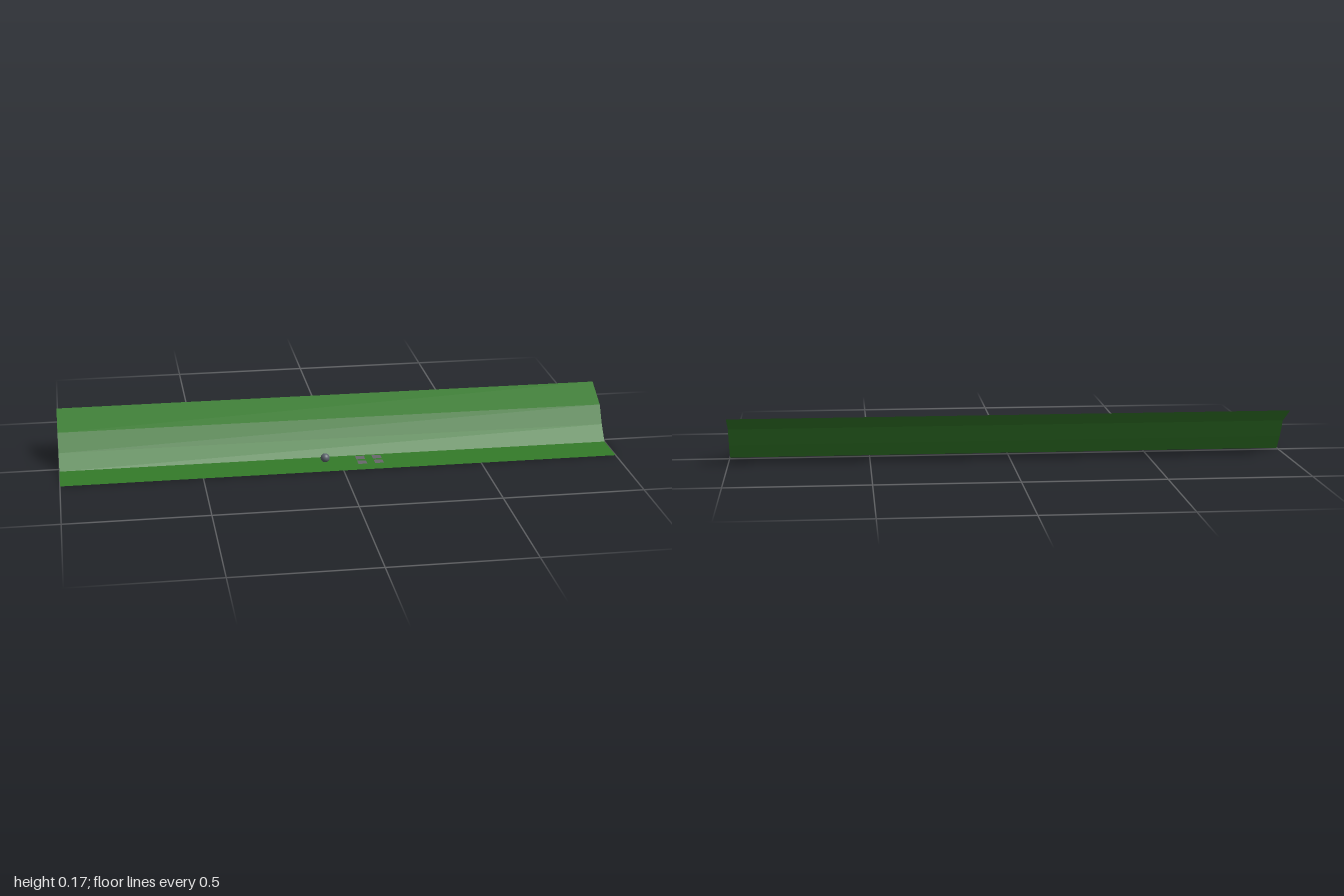
import * as THREE from 'three';

const green = new THREE.MeshStandardMaterial({ color: 0x337a29, side: THREE.DoubleSide });
green.name = 'green sheet';
const steel = new THREE.MeshStandardMaterial({ color: 0x5b646b });
steel.name = 'steel grey';
const grey = new THREE.MeshStandardMaterial({ color: 0x68666c, side: THREE.DoubleSide });
grey.name = 'plate grey';

// Cross-section of the folded sheet as [z, y], from the front edge to the top of the back
const profile = [[0.163, 0], [0.021, 0], [-0.023, 0.053], [-0.061, 0.117], [-0.166, 0.172]];

// Sweeps the cross-section along x with a hard crease at every fold
function foldedSheet(points, halfLength) {
  const positions = [];
  for (let i = 0; i < points.length - 1; i++) {
    const [z0, y0] = points[i];
    const [z1, y1] = points[i + 1];
    const a = [-halfLength, y0, z0], b = [halfLength, y0, z0];
    const c = [halfLength, y1, z1], d = [-halfLength, y1, z1];
    positions.push(...a, ...b, ...c, ...a, ...c, ...d);
  }
  const geometry = new THREE.BufferGeometry();
  geometry.setAttribute('position', new THREE.Float32BufferAttribute(positions, 3));
  geometry.computeVertexNormals();
  return geometry;
}

export function createModel() {
  const model = new THREE.Group();
  model.name = 'foldedBackdrop';

  function add(name, geometry, material, x, y, z) {
    const mesh = new THREE.Mesh(geometry, material);
    mesh.name = name;
    mesh.position.set(x, y, z);
    model.add(mesh);
  }

  // Floor and leaning back wall
  add('backdropSheet', foldedSheet(profile, 1), green, 0, 0, 0);

  // Ball hovering just above the floor
  add('ball', new THREE.SphereGeometry(0.016, 32, 20), steel, -0.058, 0.028, 0.1);

  // Two by two grid of flat square plates
  const plate = new THREE.PlaneGeometry(0.032, 0.032).rotateX(-Math.PI / 2);
  for (const x of [0.07, 0.13])
    for (const z of [0.094, 0.14]) add('squarePlate', plate, grey, x, 0.019, z);

  return model;
}
